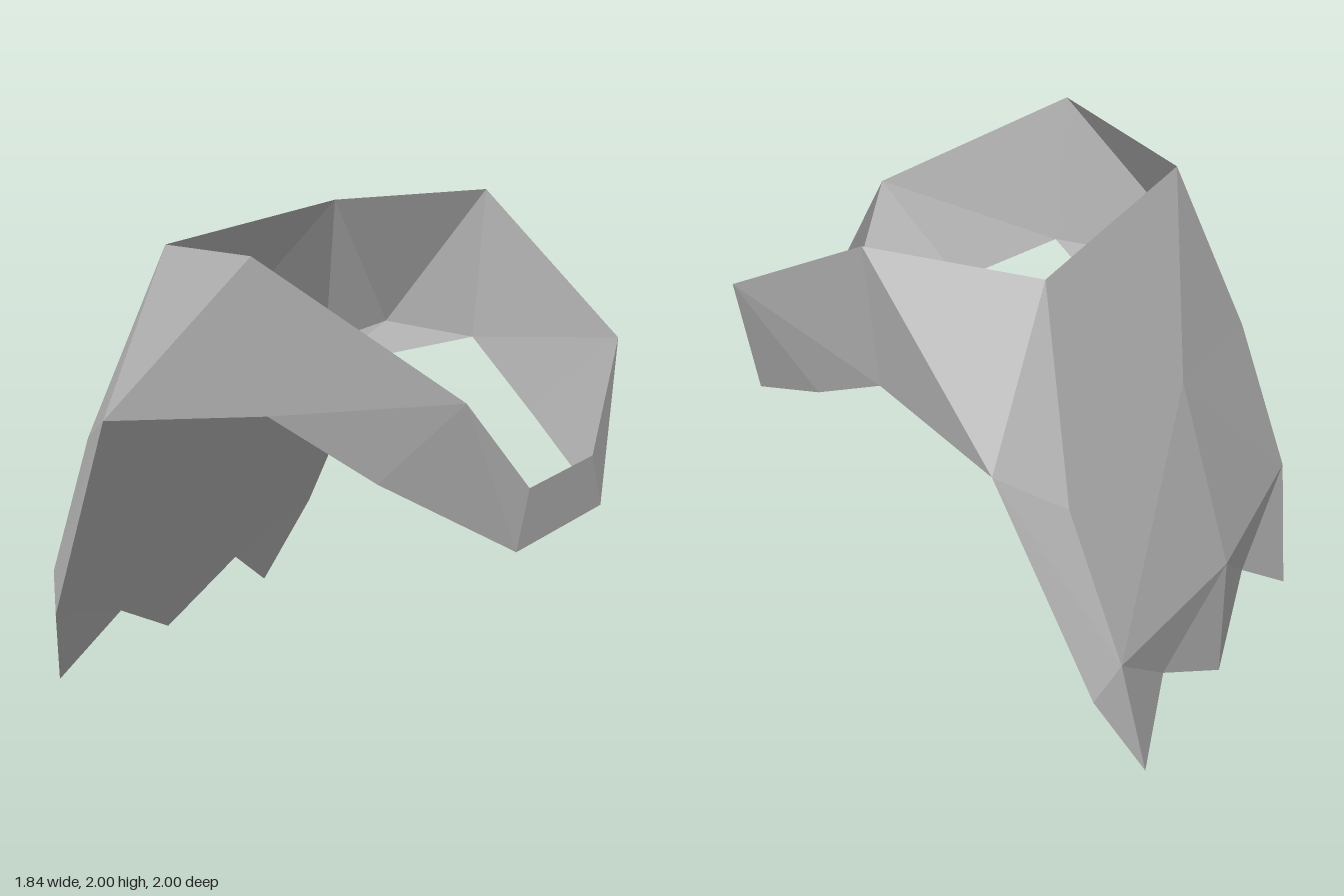
import * as THREE from 'three';

// Corner points of the left (+x) half; points with x = 0 lie on the mirror plane
const P = {
  crown: [0.77, 2.0, 0.15], backTop: [0.54, 1.92, -0.46], backTopMid: [0, 1.92, -0.46],
  side: [0.92, 1.31, -0.46], sideMid: [0, 1.31, -0.46],
  brow: [0.54, 1.54, 0.92], chinLow: [0.31, 0.93, 1.0], chinHigh: [0.23, 1.155, 1.0],
  chinLowMid: [0, 0.93, 1.0], chinHighMid: [0, 1.155, 1.0],
  jaw: [0.54, 1.16, 0.54], ear: [0.69, 1.385, 0.15],
  nape: [0.38, 1.235, -0.385], napeMid: [0, 1.235, -0.385],
  spine: [0, 1.31, -0.77], blade: [0.77, 1.16, -0.69],
  hip: [0.77, 0.54, -0.92], hipMid: [0, 0.54, -1.0],
  edge: [0.845, 0.39, -0.845], tip: [0.69, 0, -1.0],
  notch: [0.385, 0.23, -0.92], tipMid: [0, 0, -1.0],
};

// Triangles of each part, wound to face outward
const PARTS = {
  sideBand: ['crown brow ear', 'brow jaw ear', 'brow chinLow jaw', 'crown ear side', 'crown side backTop'],
  frontBar: ['brow chinHigh chinLow', 'chinHighMid chinLowMid chinLow', 'chinHighMid chinLow chinHigh'],
  backPanel: ['backTopMid backTop spine', 'backTop side blade', 'backTop blade spine',
    'spine blade hip', 'spine hip hipMid', 'side hip blade', 'side edge hip'],
  jaggedHem: ['hipMid hip notch', 'hipMid notch tipMid', 'hip tip notch', 'hip edge tip'],
  innerPanel: ['sideMid tipMid notch', 'sideMid notch side', 'side notch edge', 'edge notch tip'],
  napeLedge: ['sideMid napeMid nape', 'sideMid nape side', 'ear nape side'],
};

// Faceted surface from the triangles plus their mirror images
function mirroredFacets(triangles) {
  const pos = [];
  for (const t of triangles) {
    const pts = t.split(' ').map((n) => P[n]);
    for (const p of pts) pos.push(...p);
    for (const [x, y, z] of [...pts].reverse()) pos.push(-x, y, z);
  }
  const g = new THREE.BufferGeometry();
  g.setAttribute('position', new THREE.Float32BufferAttribute(pos, 3));
  g.computeVertexNormals();
  return g;
}

export function createModel() {
  const grey = new THREE.MeshStandardMaterial({ color: 0xb4b4b4, flatShading: true, side: THREE.DoubleSide });
  grey.name = 'grey';
  const group = new THREE.Group();
  group.name = 'facetedHood';
  for (const [name, triangles] of Object.entries(PARTS)) {
    const mesh = new THREE.Mesh(mirroredFacets(triangles), grey);
    mesh.name = name;
    group.add(mesh);
  }
  return group;
}
